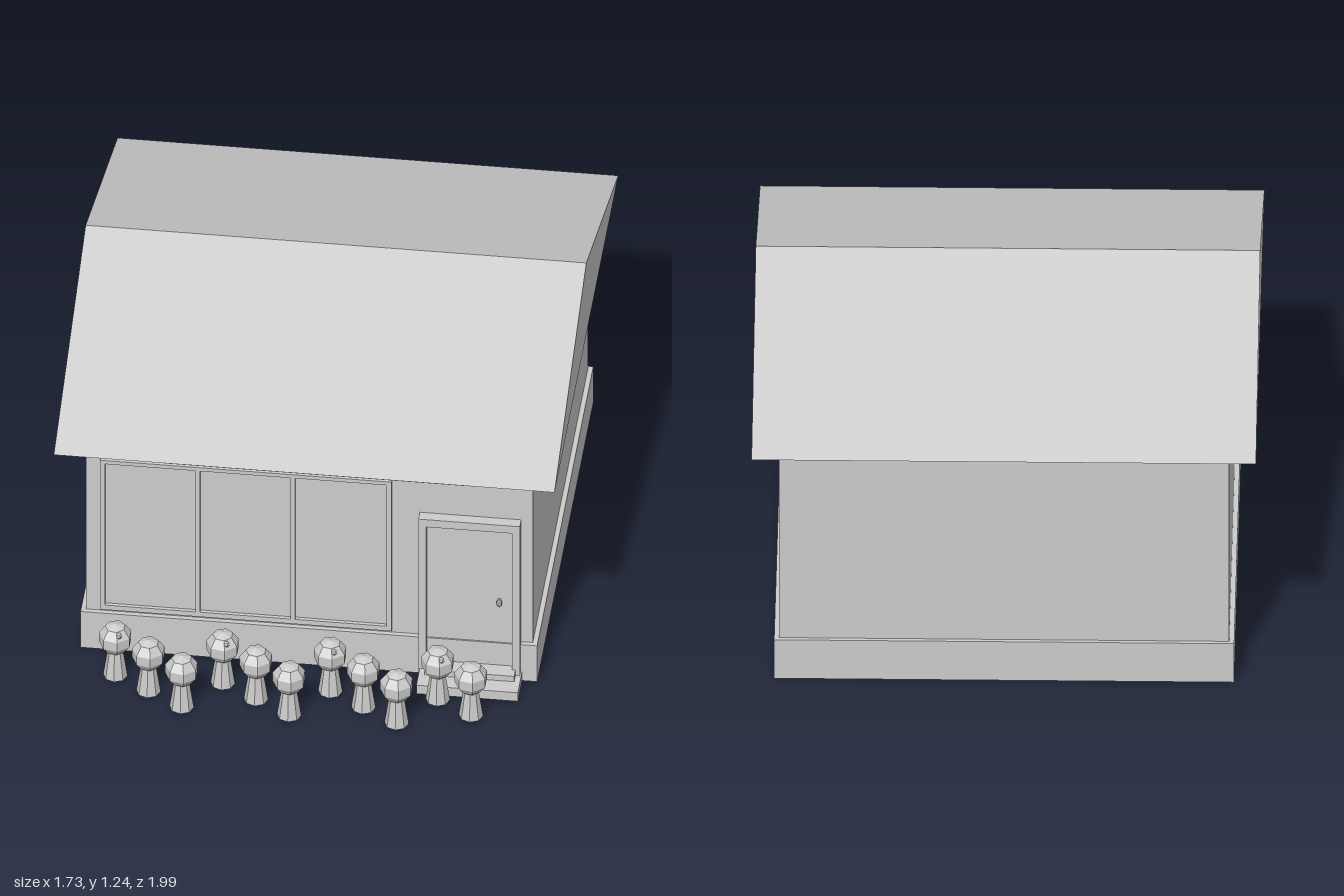
import * as THREE from 'three';

const clay = new THREE.MeshStandardMaterial({ color: 0xcccccc, flatShading: true });
clay.name = 'light grey';

function add(parent, name, geometry) {
  const mesh = new THREE.Mesh(geometry, clay);
  mesh.name = name;
  parent.add(mesh);
  return mesh;
}

// Box given by its limits on each axis
function box(parent, name, x0, x1, y0, y1, z0, z1) {
  const mesh = add(parent, name, new THREE.BoxGeometry(x1 - x0, y1 - y0, z1 - z0));
  mesh.position.set((x0 + x1) / 2, (y0 + y1) / 2, (z0 + z1) / 2);
  return mesh;
}

// Rectangular frame with rectangular openings, extruded forward
function frame(parent, name, [x0, x1, y0, y1], openings, z, depth) {
  const corners = (a, b, c, d) => [[a, c], [b, c], [b, d], [a, d]].map(p => new THREE.Vector2(...p));
  const shape = new THREE.Shape(corners(x0, x1, y0, y1));
  for (const o of openings) shape.holes.push(new THREE.Path(corners(...o).reverse()));
  const mesh = add(parent, name, new THREE.ExtrudeGeometry(shape, { depth, bevelEnabled: false }));
  mesh.position.z = z;
}

// Potted ball plant on a flared stem
function plant(x, z, withBud) {
  const group = new THREE.Group();
  group.name = 'ballPlant';
  add(group, 'stem', new THREE.CylinderGeometry(0.026, 0.042, 0.11, 8)).position.y = 0.055;
  add(group, 'crown', new THREE.SphereGeometry(0.06, 7, 5)).position.y = 0.16;
  if (withBud) add(group, 'bud', new THREE.SphereGeometry(0.012, 6, 4)).position.set(0.016, 0.195, 0.035);
  group.position.set(x, 0, z);
  return group;
}

export function createModel() {
  const model = new THREE.Group();
  model.name = 'shop';

  // Building body
  box(model, 'plinth', -0.787, 0.787, 0, 0.155, -0.92, 0.653);
  box(model, 'walls', -0.77, 0.77, 0.1, 0.93, -0.905, 0.636);

  // Gable roof: triangle in z-y, extruded along x
  const gable = new THREE.Shape();
  gable.moveTo(-0.785, 0.927);
  gable.lineTo(1.0, 0.927);
  gable.lineTo(0.107, 1.235);
  gable.closePath();
  const roof = new THREE.ExtrudeGeometry(gable, { depth: 1.726, bevelEnabled: false });
  roof.translate(0, 0, -0.863).rotateY(Math.PI / 2);
  add(model, 'roof', roof);

  // Blank sign board under the eaves
  box(model, 'signBoard', -0.495, 0.55, 0.835, 0.927, 0.654, 0.668);

  // Shop window with three panes
  frame(model, 'windowFrame', [-0.72, 0.285, 0.17, 0.815],
    [[-0.703, -0.39, 0.19, 0.8], [-0.375, -0.063, 0.19, 0.8], [-0.047, 0.268, 0.19, 0.8]], 0.63, 0.022);
  box(model, 'windowGlass', -0.71, 0.275, 0.18, 0.81, 0.632, 0.639);

  // Door, frame, handle
  frame(model, 'doorFrame', [0.38, 0.73, 0, 0.682], [[0.407, 0.703, 0.04, 0.65]], 0.63, 0.045);
  box(model, 'door', 0.4, 0.71, 0.03, 0.66, 0.63, 0.648);
  const handle = add(model, 'doorHandle', new THREE.SphereGeometry(0.01, 8, 6));
  handle.scale.y = 1.8;
  handle.position.set(0.657, 0.332, 0.657);

  // Door steps
  box(model, 'upperStep', 0.405, 0.715, 0, 0.06, 0.64, 0.71);
  box(model, 'lowerStep', 0.385, 0.735, 0, 0.037, 0.64, 0.77);

  // Staggered plants
  for (let i = 0; i < 11; i++) {
    model.add(plant(-0.65 + 0.1235 * i, 0.79 + 0.0745 * (i % 3), i % 3 === 0));
  }
  return model;
}
